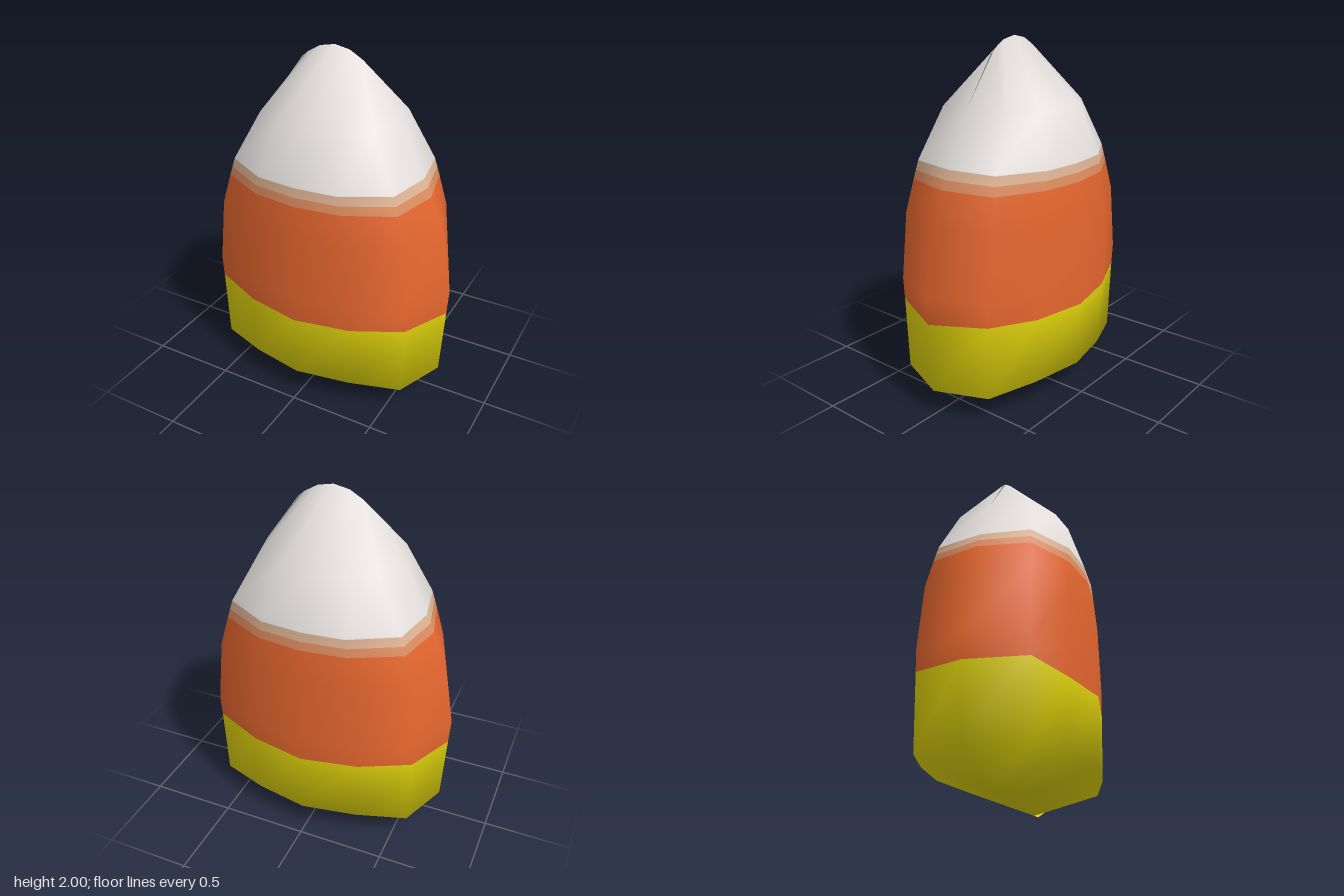
import * as THREE from 'three';
import { mergeVertices } from 'three/addons/utils/BufferGeometryUtils.js';

const flat = (name, color) => {
  const m = new THREE.MeshStandardMaterial({ color });
  m.name = name;
  return m;
};

// Cross-sections from bottom to top:
// y, half width, half depth, corner x and z factors, mid z factor, drop of y at the sides
const ROWS = [
  [0.005, 0.38, 0, 0.82, 0, 0, -0.012], // bottom ridge
  [0.18, 0.70, 0.462, 0.84, 0.645, 0.87, 0.03],
  [0.70, 0.73, 0.48, 0.825, 0.645, 0.87, 0],
  [1.08, 0.662, 0.472, 0.85, 0.64, 0.89, 0],
  [1.36, 0.535, 0.43, 0.91, 0.63, 0.95, 0],
  [1.64, 0.395, 0.342, 0.86, 0.63, 0.93, 0],
  [2.0, 0.2, 0, 0.82, 0, 0, 0.09], // top ridge
];

// Heights where the colour changes
const BANDS = [0.553, 1.255, 1.305, 1.355];

// Linear blend of the neighbouring cross-sections
function sectionAt(y) {
  const i = ROWS.findIndex((r) => r[0] > y) - 1;
  const t = (y - ROWS[i][0]) / (ROWS[i + 1][0] - ROWS[i][0]);
  const s = ROWS[i].map((v, k) => v + (ROWS[i + 1][k] - v) * t);
  s[6] = 0;
  return s;
}

// Twelve points around one cross-section, starting at +x and turning to +z
function ring([y, w, d, cx, cz, mz, drop], bump) {
  const quarter = [[1, 0], [cx, cz], [0.44, mz], [0, 1]];
  const points = [];
  for (let j = 0; j < 12; j++) {
    const q = j % 6 <= 3 ? j % 6 : 6 - (j % 6);
    const sx = j > 3 && j < 9 ? -1 : 1;
    const sz = j > 6 ? -1 : 1;
    const [fx, fz] = quarter[q];
    const lift = q === 1 ? bump : 0;
    points.push([sx * fx * w, y - drop * fx * fx + lift, sz * fz * d]);
  }
  return points;
}

// One continuous skin with a material group for each colour band
function candyGeometry() {
  const sections = [...ROWS, ...BANDS.map(sectionAt)].sort((a, b) => a[0] - b[0]);
  const positions = [];
  const index = [];
  const geometry = new THREE.BufferGeometry();
  sections.forEach((s, i) => {
    // the yellow edge is slightly wavy
    ring(s, s[0] === BANDS[0] ? 0.025 : 0).forEach((p) => positions.push(...p));
    if (i === sections.length - 1) return;
    const start = index.length;
    for (let j = 0; j < 12; j++) {
      const a = i * 12 + j;
      const b = i * 12 + ((j + 1) % 12);
      index.push(a, a + 12, b, b, a + 12, b + 12);
    }
    const band = BANDS.filter((y) => s[0] >= y - 1e-6).length;
    geometry.addGroup(start, index.length - start, band);
  });
  geometry.setAttribute('position', new THREE.Float32BufferAttribute(positions, 3));
  geometry.setIndex(index);
  // weld front and back along the ridges so the shading runs over them
  const welded = mergeVertices(geometry, 1e-5);
  welded.computeVertexNormals();
  return welded;
}

export function createModel() {
  const group = new THREE.Group();
  group.name = 'candyCorn';
  const body = new THREE.Mesh(candyGeometry(), [
    flat('yellow', 0xe3d60c),
    flat('orange', 0xe6672f),
    flat('darkPeach', 0xdf8f62),
    flat('lightPeach', 0xe0b595),
    flat('white', 0xe6e1df),
  ]);
  body.name = 'candyBody';
  group.add(body);
  return group;
}
